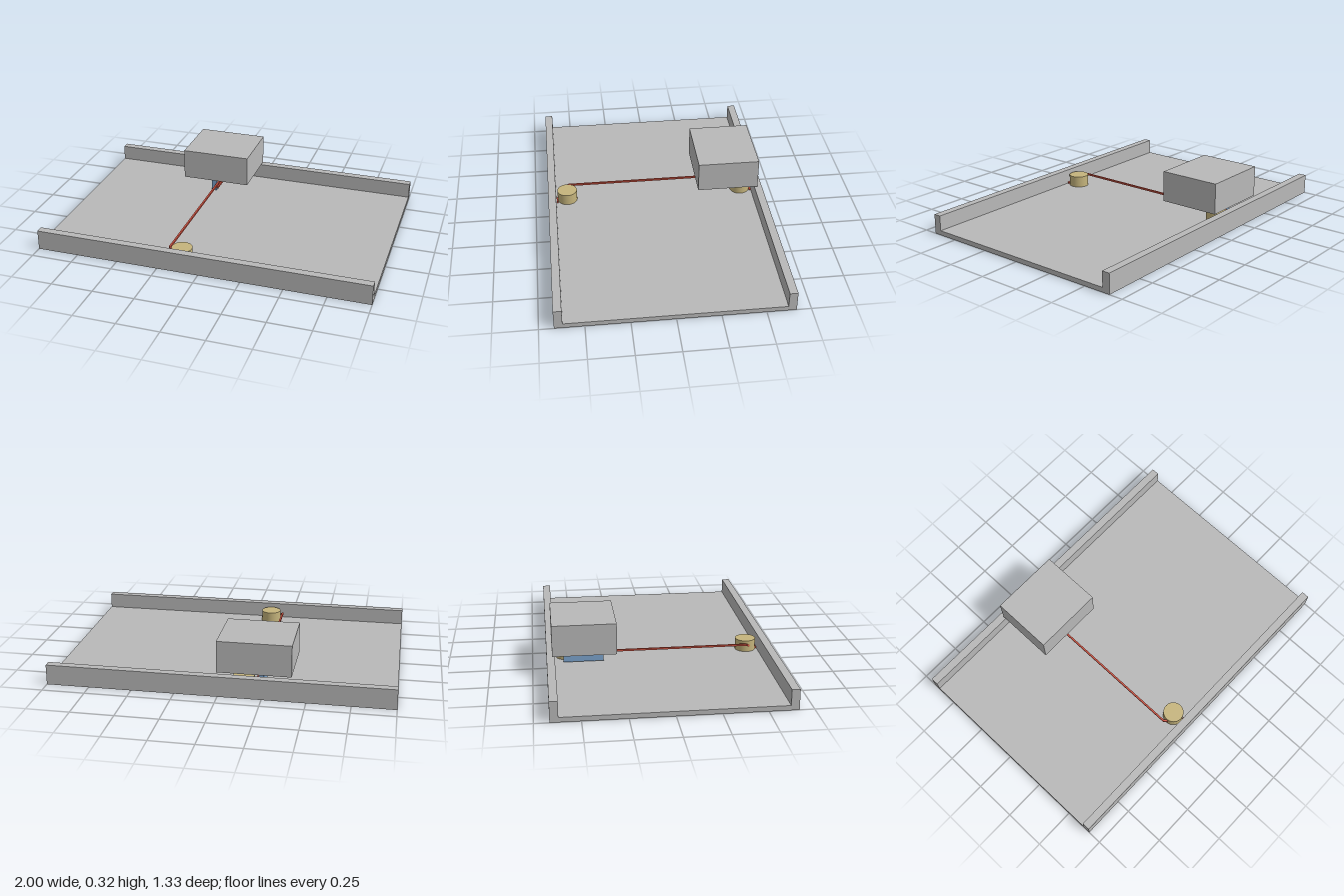
import * as THREE from 'three';

const mat = (name, color) => {
  const m = new THREE.MeshStandardMaterial({ color });
  m.name = name;
  return m;
};

export function createModel() {
  const model = new THREE.Group();
  const grey = mat('grey', 0xb8b8b8);
  const tan = mat('tan', 0xc5b47c);
  const blue = mat('blue', 0x7ba3cc);
  const red = mat('red', 0xc9503f);

  const add = (name, geometry, material, x, y, z) => {
    const mesh = new THREE.Mesh(geometry, material);
    mesh.name = name;
    mesh.position.set(x, y, z);
    model.add(mesh);
    return mesh;
  };
  // Box given by its minimum and maximum corners
  const box = (name, material, a, b) => add(name,
    new THREE.BoxGeometry(b[0] - a[0], b[1] - a[1], b[2] - a[2]), material,
    (a[0] + b[0]) / 2, (a[1] + b[1]) / 2, (a[2] + b[2]) / 2);
  // Straight square-section cord between two points
  const cord = (name, from, to) => {
    const a = new THREE.Vector3(...from), b = new THREE.Vector3(...to);
    const mid = a.clone().add(b).multiplyScalar(0.5);
    const mesh = add(name, new THREE.BoxGeometry(0.011, 0.011, a.distanceTo(b)), red, mid.x, mid.y, mid.z);
    mesh.lookAt(b);
  };

  // Tray: floor with a wall along the front and back
  box('trayFloor', grey, [-1, 0, -0.667], [1, 0.028, 0.667]);
  box('frontWall', grey, [-1, 0.028, 0.62], [1, 0.12, 0.667]);
  box('backWall', grey, [-1, 0.028, -0.667], [1, 0.12, -0.62]);

  // Carriage block on its blue clamp plate
  box('carriage', grey, [-0.415, 0.135, -0.635], [0.01, 0.321, -0.262]);
  box('clampPlate', blue, [-0.25, 0.034, -0.567], [-0.219, 0.135, -0.329]);

  // Pulleys and the cord end passing round each one
  for (const [side, s, y] of [['front', 1, 0.08], ['back', -1, 0.054]]) {
    add(side + 'Pulley', new THREE.CylinderGeometry(0.061, 0.061, 0.069, 40), tan, -0.135, 0.0625, s * 0.549);
    cord(side + 'CordTurn', [-0.213, y, s * 0.538], [-0.14, 0.033, s * 0.61]);
    cord(side + 'CordEnd', [-0.145, 0.033, s * 0.612], [-0.1, 0.033, s * 0.612]);
  }

  // Long upper cord and short lower cord, both fixed to the clamp plate
  cord('upperCord', [-0.213, 0.08, 0.543], [-0.213, 0.08, -0.567]);
  cord('lowerCord', [-0.213, 0.054, -0.329], [-0.213, 0.054, -0.543]);

  return model;
}
